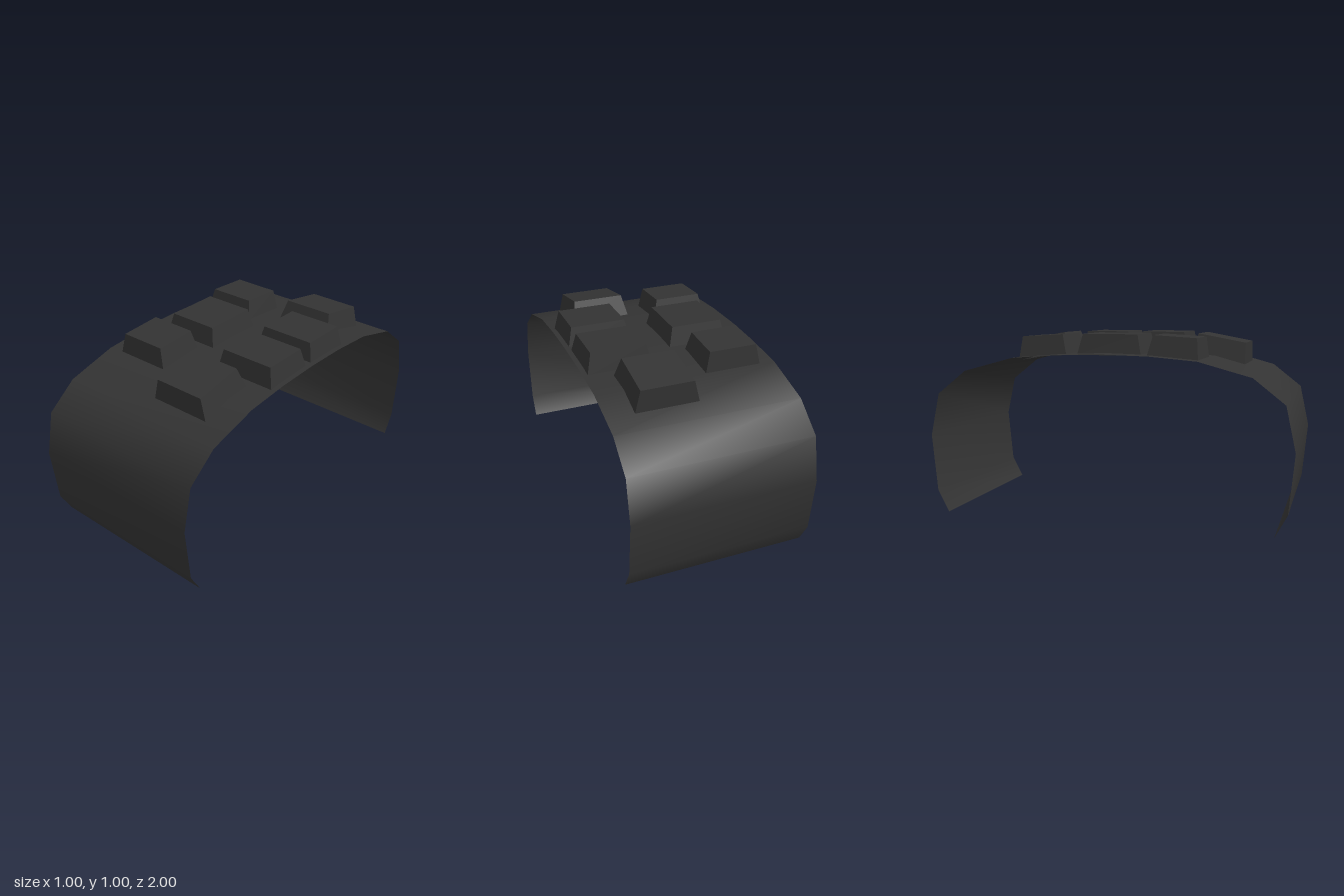
import * as THREE from 'three';

const rubber = new THREE.MeshStandardMaterial({ color: 0x333333, side: THREE.DoubleSide });
rubber.name = 'dark rubber';

// Half of the arch profile as [z, y], from the crown down to the front edge
const HALF = [[0, 0.9], [0.25, 0.894], [0.505, 0.873], [0.783, 0.798],
  [0.948, 0.668], [1, 0.433], [0.971, 0.12], [0.907, 0]];

// Thin open band: the mirrored profile swept across x
function bandGeometry() {
  const profile = [...HALF.slice(1).reverse().map(([z, y]) => [-z, y]), ...HALF];
  const position = [], index = [];
  profile.forEach(([z, y], i) => {
    position.push(-0.5, y, z, 0.5, y, z);
    if (i > 0) {
      const a = 2 * i - 2;
      index.push(a, a + 2, a + 1, a + 1, a + 2, a + 3);
    }
  });
  const geometry = new THREE.BufferGeometry();
  geometry.setAttribute('position', new THREE.Float32BufferAttribute(position, 3));
  geometry.setIndex(index);
  geometry.computeVertexNormals();
  return geometry;
}

// Tapered block; side = [base back, base front, top back, top front] as [z, y]
function padGeometry(x0, x1, inset, side) {
  const geometry = new THREE.BoxGeometry(1, 1, 1);
  const p = geometry.attributes.position;
  for (let i = 0; i < p.count; i++) {
    const top = p.getY(i) > 0, front = p.getZ(i) > 0;
    const [z, y] = side[(top ? 2 : 0) + (front ? 1 : 0)];
    const d = top ? inset : 0;
    p.setXYZ(i, p.getX(i) > 0 ? x1 - d : x0 + d, y, z);
  }
  geometry.computeVertexNormals();
  return geometry;
}

// Side outline mirrored to the back half
const mirror = ([a, b, c, d]) => [b, a, d, c].map(([z, y]) => [-z, y]);

export function createModel() {
  const group = new THREE.Group();
  group.name = 'paddedBand';
  const add = (name, geometry) => {
    const mesh = new THREE.Mesh(geometry, rubber);
    mesh.name = name;
    group.add(mesh);
  };

  add('band', bandGeometry());

  // Single pad on the crown
  add('crownPad', padGeometry(-0.37, -0.035, 0.025,
    [[-0.178, 0.888], [0.178, 0.888], [-0.153, 1], [0.153, 1]]));

  // Pads that come in front and back pairs
  const pairs = [
    ['outerPad', 0.01, 0.35, 0.028, [[0.36, 0.88], [0.672, 0.828], [0.405, 0.996], [0.672, 0.946]]],
    ['innerPad', 0.12, 0.475, 0.026, [[0.02, 0.888], [0.318, 0.881], [0.043, 1], [0.297, 0.999]]],
    ['sidePad', -0.417, -0.106, 0.024, [[0.222, 0.889], [0.493, 0.873], [0.25, 0.999], [0.482, 0.985]]],
  ];
  for (const [name, x0, x1, inset, side] of pairs) {
    add(name + 'Front', padGeometry(x0, x1, inset, side));
    add(name + 'Back', padGeometry(x0, x1, inset, mirror(side)));
  }
  return group;
}
